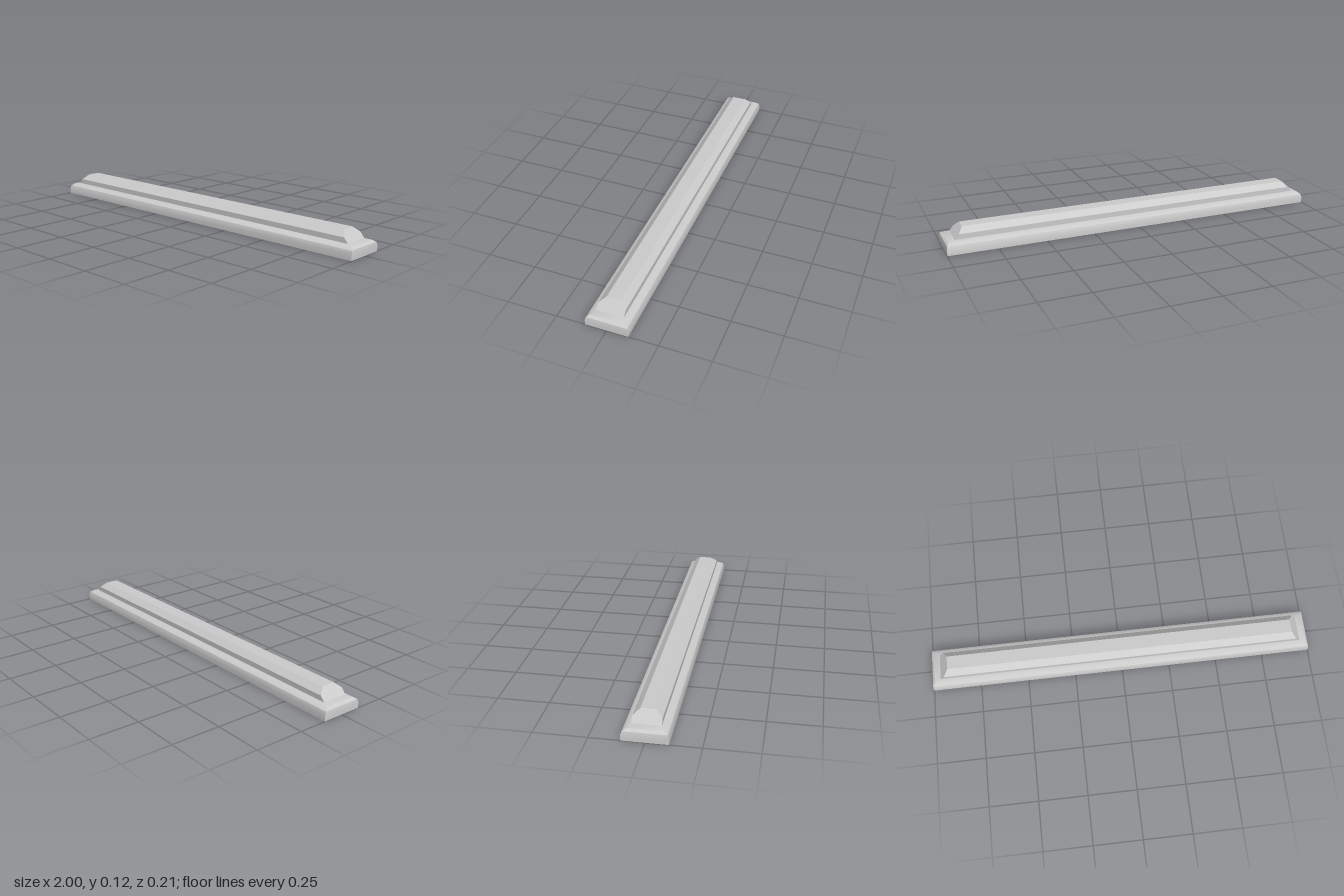
import * as THREE from 'three';
import { toCreasedNormals } from 'three/addons/utils/BufferGeometryUtils.js';

// Stack of rectangular cross-sections [halfX, y, halfZ], listed from bottom to top
function loftRects(rings) {
  const pos = [];
  const corners = rings.map(([x, y, z]) => [[-x, y, z], [x, y, z], [x, y, -z], [-x, y, -z]]);
  const quad = (a, b, c, d) => pos.push(...a, ...b, ...c, ...a, ...c, ...d);
  for (let i = 0; i < corners.length - 1; i++) {
    const lo = corners[i], hi = corners[i + 1];
    for (let k = 0; k < 4; k++) {
      const n = (k + 1) % 4;
      quad(lo[k], lo[n], hi[n], hi[k]);
    }
  }
  const bottom = corners[0], top = corners[corners.length - 1];
  quad(top[0], top[1], top[2], top[3]);
  quad(bottom[3], bottom[2], bottom[1], bottom[0]);
  const geo = new THREE.BufferGeometry();
  geo.setAttribute('position', new THREE.Float32BufferAttribute(pos, 3));
  return toCreasedNormals(geo, 0.62);
}

export function createModel() {
  const group = new THREE.Group();
  const material = new THREE.MeshStandardMaterial({ color: 0xcccccc });
  const add = (name, rings) => {
    const mesh = new THREE.Mesh(loftRects(rings), material);
    mesh.name = name;
    group.add(mesh);
  };

  // Long base with rounded shoulders
  add('base', [
    [1, 0, 0.106],
    [1, 0.03, 0.106],
    [0.997, 0.046, 0.1],
    [0.985, 0.057, 0.082],
    [0.953, 0.062, 0.067],
  ]);

  // Raised bar with bevelled long edges and sloping ends
  add('raisedBar', [
    [0.953, 0.062, 0.067],
    [0.931, 0.088, 0.067],
    [0.908, 0.115, 0.035],
  ]);

  return group;
}
